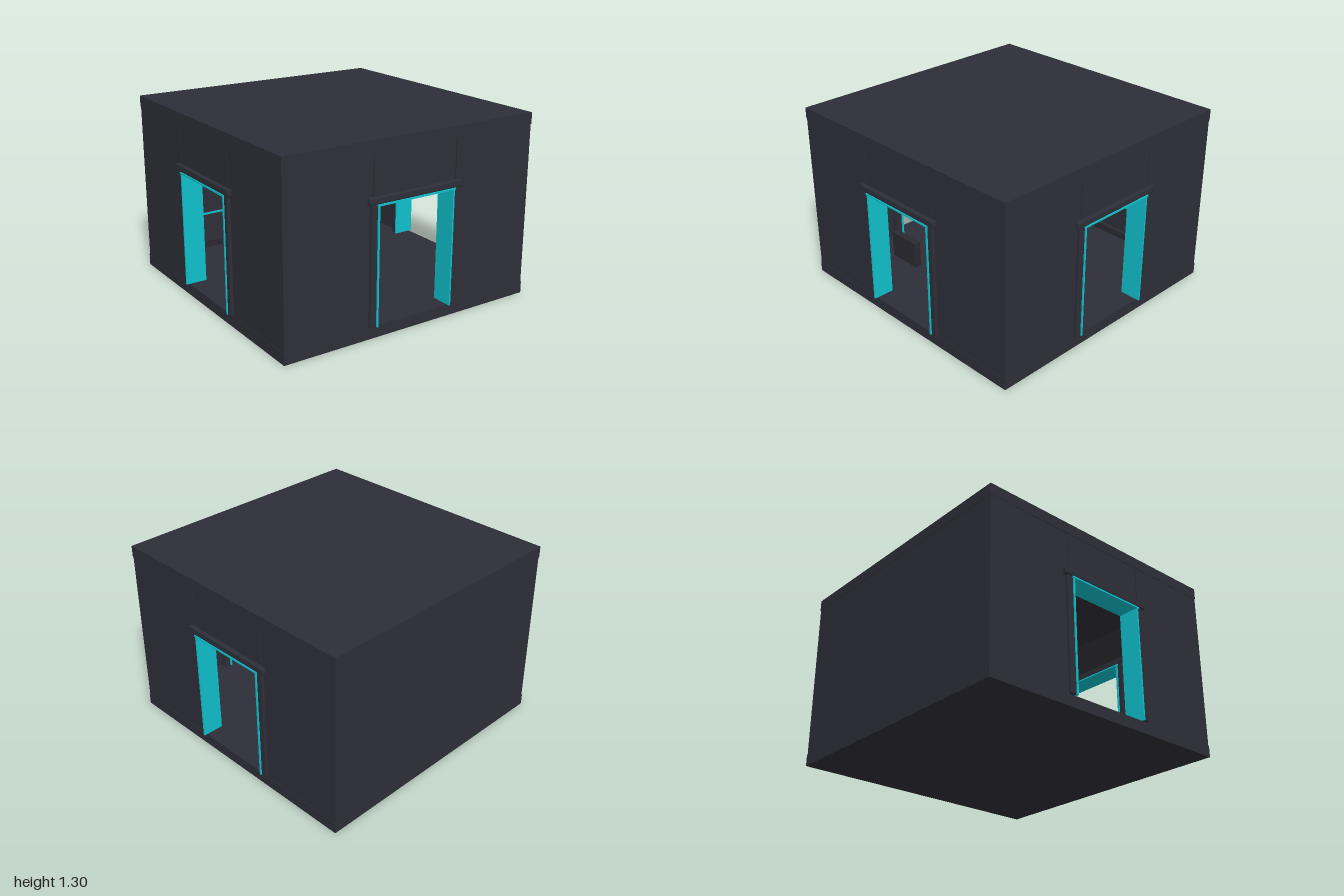
import * as THREE from 'three';
import { RoundedBoxGeometry } from 'three/addons/geometries/RoundedBoxGeometry.js';

const mat = (name, color) => {
  const m = new THREE.MeshStandardMaterial({ color });
  m.name = name;
  return m;
};

export function createModel() {
  const wallMat = mat('charcoal', 0x2e2e38);
  const darkMat = mat('dark charcoal', 0x292930);
  const panelMat = mat('panel black', 0x222227);
  const cyanMat = mat('cyan', 0x10c2ce);
  const room = new THREE.Group();
  room.name = 'room';

  // box given by its min and max along each axis; r rounds the edges
  const box = (parent, name, m, [x0, x1], [y0, y1], [z0, z1], r = 0) => {
    const s = [x1 - x0, y1 - y0, z1 - z0];
    const g = r ? new RoundedBoxGeometry(...s, 2, r) : new THREE.BoxGeometry(...s);
    const mesh = new THREE.Mesh(g, m);
    mesh.name = name;
    mesh.position.set((x0 + x1) / 2, (y0 + y1) / 2, (z0 + z1) / 2);
    parent.add(mesh);
    return mesh;
  };

  const H = 0.975, Z = -0.015, floorY = 0.08, topY = 1.22;
  const shell = new THREE.Group();
  shell.name = 'shell';
  shell.position.z = Z;
  room.add(shell);

  // floor and roof slabs, plain back wall
  box(shell, 'floor', wallMat, [-H, H], [0, floorY], [-H, H]);
  box(shell, 'roof', wallMat, [-H, H], [topY, 1.3], [-H, H]);
  box(shell, 'backWall', wallMat, [-H + 0.003, H - 0.003], [floorY, topY], [-H + 0.003, -H + 0.075]);

  // wall with a doorway, facing +z, turned into place
  const doorWall = (name, angle, half) => {
    const g = new THREE.Group();
    g.name = name;
    g.rotation.y = angle;
    shell.add(g);
    const wz = [H - 0.075, H - 0.003];
    for (const s of [-1, 1]) {
      const span = (a, b) => (s > 0 ? [a, b] : [-b, -a]);
      box(g, 'wallPanel', wallMat, span(0.328, half), [floorY, topY], wz);
      box(g, 'doorPost', wallMat, span(0.303, 0.35), [floorY, 0.9], [H - 0.125, H + 0.018], 0.008);
      box(g, 'doorLining', cyanMat, span(0.291, 0.303), [floorY, 0.895], [H - 0.13, H + 0.022]);
    }
    box(g, 'headerPanel', wallMat, [-0.322, 0.322], [0.94, topY], wz);
    box(g, 'headerBacking', panelMat, [-0.34, 0.34], [0.94, topY], [H - 0.08, H - 0.02]);
    box(g, 'doorLintel', wallMat, [-0.37, 0.37], [0.897, 0.945], [H - 0.125, H + 0.024], 0.01);
    box(g, 'topLining', cyanMat, [-0.31, 0.31], [0.885, 0.897], [H - 0.13, H + 0.025]);
  };
  doorWall('frontWall', 0, H - 0.003);
  doorWall('leftWall', Math.PI / 2, H - 0.075);
  doorWall('rightWall', -Math.PI / 2, H - 0.075);

  // eight-sided column with a plinth, light bands and four screens
  const column = new THREE.Group();
  column.name = 'column';
  column.position.z = -0.26;
  room.add(column);
  const octagon = (name, m, r, y0, y1) => {
    const g = new THREE.CylinderGeometry(r, r, y1 - y0, 8).toNonIndexed();
    g.computeVertexNormals();
    const mesh = new THREE.Mesh(g, m);
    mesh.name = name;
    mesh.position.y = (y0 + y1) / 2;
    column.add(mesh);
  };
  octagon('columnShaft', darkMat, 0.202, floorY, topY);
  octagon('columnPlinth', darkMat, 0.245, floorY, 0.18);
  octagon('lowerBand', cyanMat, 0.208, 0.28, 0.302);
  octagon('upperBand', cyanMat, 0.208, 0.805, 0.828);
  for (let i = 0; i < 4; i++) {
    const arm = new THREE.Group();
    arm.name = 'columnScreen';
    arm.rotation.y = Math.PI / 8 + (i * Math.PI) / 2;
    column.add(arm);
    box(arm, 'screen', panelMat, [-0.07, 0.07], [0.38, 0.7], [0.17, 0.214]);
  }

  // fittings along the back wall and a low stand by the front
  box(room, 'backBaseboard', darkMat, [-0.9, 0.9], [floorY, 0.13], [-0.915, -0.88]);
  box(room, 'backLightStrip', cyanMat, [-0.9, 0.9], [0.335, 0.348], [-0.915, -0.905]);
  box(room, 'lowStand', darkMat, [-0.67, -0.41], [floorY, 0.28], [0.47, 0.52], 0.005);
  return room;
}
